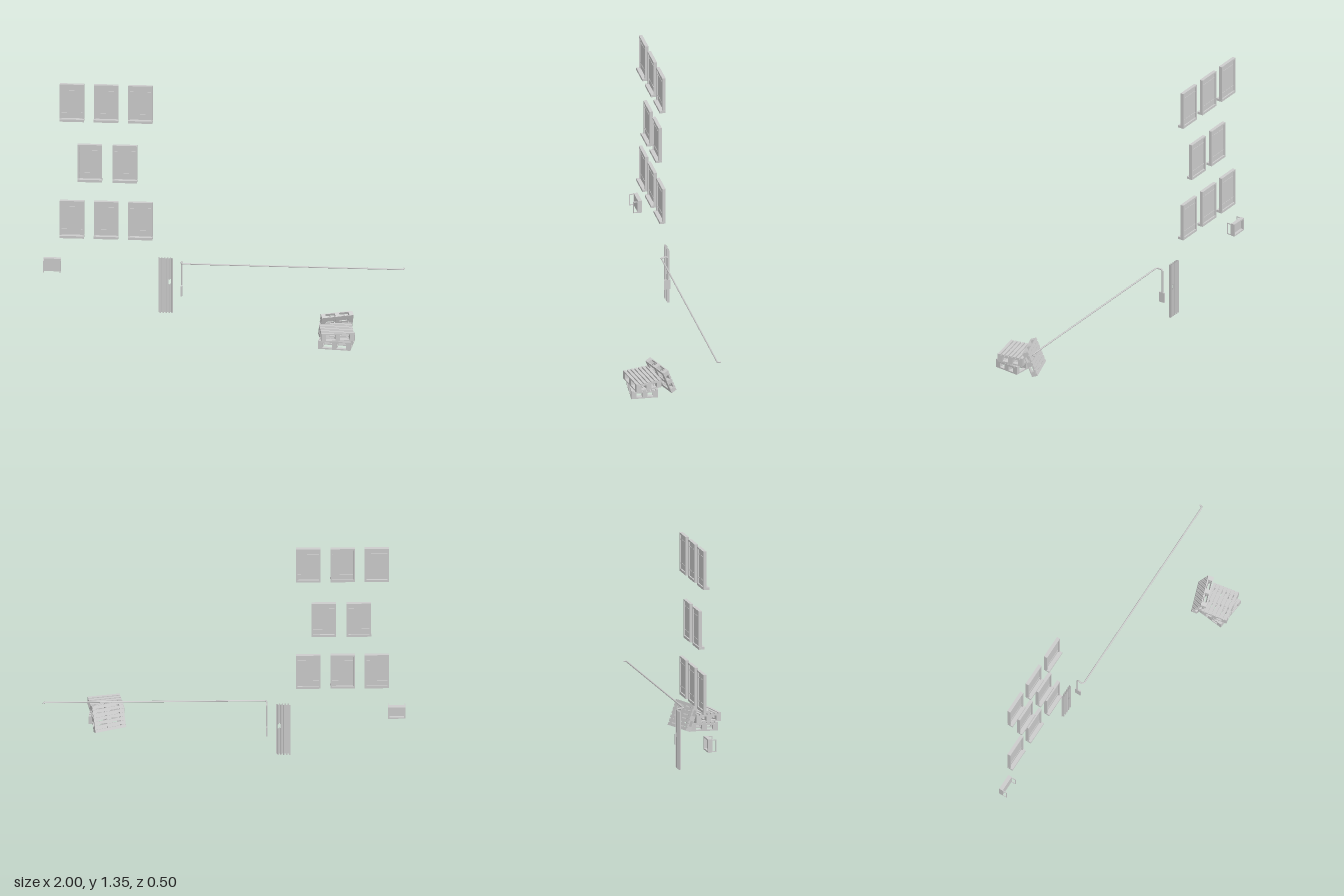
import * as THREE from 'three';

const grey = new THREE.MeshStandardMaterial({ color: 0xcccccc, flatShading: true });
const thin = new THREE.MeshStandardMaterial({ color: 0xcccccc, flatShading: true, side: THREE.DoubleSide });
const smooth = new THREE.MeshStandardMaterial({ color: 0xcccccc });

function box(parent, name, w, h, d, x, y, z) {
  const mesh = new THREE.Mesh(new THREE.BoxGeometry(w, h, d), grey);
  mesh.name = name;
  mesh.position.set(x, y, z);
  parent.add(mesh);
  return mesh;
}

// Rectangular frame extruded along z, centred on the origin
function frameGeometry(w, h, border, depth) {
  const rect = (P, a, b) => {
    const p = new P();
    p.moveTo(-a, -b); p.lineTo(a, -b); p.lineTo(a, b); p.lineTo(-a, b); p.closePath();
    return p;
  };
  const shape = rect(THREE.Shape, w / 2, h / 2);
  shape.holes.push(rect(THREE.Path, w / 2 - border, h / 2 - border));
  return new THREE.ExtrudeGeometry(shape, { depth, bevelEnabled: false }).translate(0, 0, -depth / 2);
}

function frame(parent, name, w, h, border, depth, x, y, z) {
  const mesh = new THREE.Mesh(frameGeometry(w, h, border, depth), grey);
  mesh.name = name;
  mesh.position.set(x, y, z);
  parent.add(mesh);
  return mesh;
}

// Window: frame, recessed pane, two rails and a projecting sill
function createWindow(x, y) {
  const g = new THREE.Group();
  g.name = 'window';
  frame(g, 'windowFrame', 0.135, 0.216, 0.009, 0.019, 0, 0.109, 0);
  box(g, 'windowPane', 0.118, 0.2, 0.004, 0, 0.109, 0);
  for (const h of [0.045, 0.178]) box(g, 'windowRail', 0.118, 0.006, 0.008, 0, h, 0);
  box(g, 'windowSill', 0.136, 0.014, 0.034, 0, 0.007, 0.0075);
  g.position.set(x, y, -0.2395);
  return g;
}

// Pallet: top boards, stringers with blocks, bottom boards
function createPallet() {
  const g = new THREE.Group();
  g.name = 'pallet';
  const w = 0.18, d = 0.15, h = 0.049, board = 0.008;
  for (let i = 0; i < 7; i++)
    box(g, 'topBoard', w, board, 0.0155, 0, h / 2 - board / 2, (i / 6 - 0.5) * (d - 0.0155));
  for (const sx of [-1, 0, 1]) {
    const x = sx * (w / 2 - 0.012);
    box(g, 'stringer', 0.024, board, d, x, h / 2 - board * 1.5, 0);
    box(g, 'skid', 0.024, board, d, x, -h / 2 + board / 2, 0);
    for (const sz of [-1, 0, 1])
      box(g, 'block', 0.024, h - board * 3, 0.028, x, -board / 2, sz * (d / 2 - 0.014));
  }
  for (const sz of [-1, 0, 1])
    box(g, 'bottomBoard', w, board * 0.9, 0.02, 0, -h / 2 + board * 0.5, sz * (d / 2 - 0.01));
  return g;
}

// Corrugated sheet made of folded strips, with a small square opening
function createCorrugatedPanel() {
  const pos = [], ribs = 5, x0 = -0.365, width = 0.08, top = 0.328;
  const profile = [];
  for (let i = 0; i < ribs; i++) {
    const x = x0 + (i * width) / ribs, p = width / ribs;
    profile.push([x, -0.241], [x + p * 0.4, -0.241], [x + p * 0.5, -0.228], [x + p * 0.9, -0.228]);
  }
  profile.push([x0 + width, -0.241]);
  for (let i = 0; i < profile.length - 1; i++) {
    const [xa, za] = profile[i], [xb, zb] = profile[i + 1];
    const middle = (xa + xb) / 2;
    const open = middle > -0.312 && middle < -0.294;
    for (const [ya, yb] of open ? [[0, 0.173], [0.2, top]] : [[0, top]])
      pos.push(xa, ya, za, xb, ya, zb, xb, yb, zb, xa, ya, za, xb, yb, zb, xa, yb, za);
  }
  const geo = new THREE.BufferGeometry();
  geo.setAttribute('position', new THREE.Float32BufferAttribute(pos, 3));
  geo.computeVertexNormals();
  const mesh = new THREE.Mesh(geo, thin);
  mesh.name = 'corrugatedPanel';
  return mesh;
}

// Pipe along the wall that turns in and drops to a flat switch box
function createPipe() {
  const g = new THREE.Group();
  g.name = 'pipeRun';
  const points = [
    [0.996, 0.318, -0.198], [0.996, 0.318, -0.18], [-0.235, 0.318, -0.18],
    [-0.235, 0.318, -0.219], [-0.235, 0.17, -0.219],
  ].map((p) => new THREE.Vector3(...p));
  const path = new THREE.CurvePath();
  const bend = 0.012;
  let from = points[0];
  for (let i = 1; i < points.length - 1; i++) {
    const corner = points[i];
    const a = corner.clone().add(points[i - 1].clone().sub(corner).setLength(bend));
    const b = corner.clone().add(points[i + 1].clone().sub(corner).setLength(bend));
    path.add(new THREE.LineCurve3(from, a));
    path.add(new THREE.QuadraticBezierCurve3(a, corner, b));
    from = b;
  }
  path.add(new THREE.LineCurve3(from, points[points.length - 1]));
  const pipe = new THREE.Mesh(new THREE.TubeGeometry(path, 500, 0.0045, 8), smooth);
  pipe.name = 'pipe';
  g.add(pipe);
  box(g, 'switchBox', 0.008, 0.06, 0.035, -0.235, 0.145, -0.2145);
  return g;
}

// Small wall box with a raised rim and two side brackets
function createWallBox() {
  const g = new THREE.Group();
  g.name = 'wallBox';
  frame(g, 'wallBoxRim', 0.096, 0.075, 0.008, 0.022, 0, 0, -0.235);
  box(g, 'wallBoxPanel', 0.084, 0.063, 0.006, 0, 0, -0.227);
  for (const side of [-1, 1]) {
    const bracket = frame(g, 'sideBracket', 0.03, 0.07, 0.005, 0.004, side * 0.046, 0, -0.212);
    bracket.rotation.y = Math.PI / 2;
  }
  g.position.set(-0.952, 0.2725, 0);
  return g;
}

export function createModel() {
  const model = new THREE.Group();
  model.name = 'wallDetails';

  for (const y of [0.438, 1.136])
    for (const x of [-0.843, -0.654, -0.464]) model.add(createWindow(x, y));
  for (const x of [-0.744, -0.55]) model.add(createWindow(x, 0.777));

  model.add(createCorrugatedPanel(), createPipe(), createWallBox());

  // Two stacked pallets and one leaning behind them
  const pallets = new THREE.Group();
  pallets.name = 'pallets';
  [-0.1, 0.17].forEach((yaw, i) => {
    const p = createPallet();
    p.position.set(0.645, 0.0245 + i * 0.049, 0.157);
    p.rotation.y = yaw;
    pallets.add(p);
  });
  const leaning = createPallet();
  leaning.name = 'leaningPallet';
  leaning.rotation.set(-1.19, 0.33, 0, 'YXZ');
  leaning.scale.y = 0.7;
  leaning.position.set(0.635, 0.076, 0.048);
  pallets.add(leaning);
  model.add(pallets);

  return model;
}
